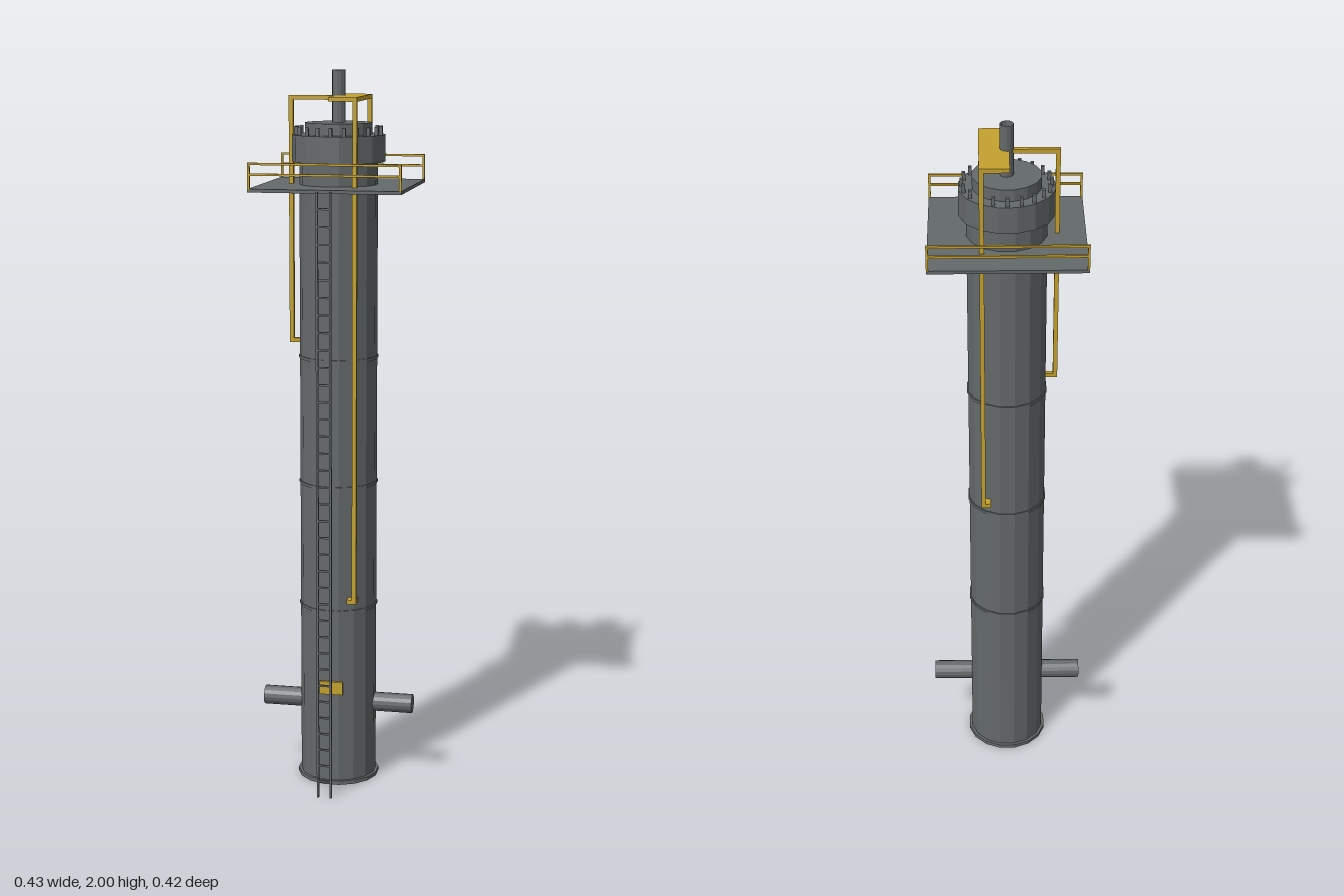
import * as THREE from 'three';

export function createModel() {
  const model = new THREE.Group();
  const steel = new THREE.MeshStandardMaterial({ name: 'grey steel', color: 0x64696a, flatShading: true });
  const yellow = new THREE.MeshStandardMaterial({ name: 'safety yellow', color: 0xc5a22f, flatShading: true });
  const openSteel = steel.clone();
  openSteel.side = THREE.DoubleSide;
  const cz = -0.004; // column axis

  const add = (name, geometry, material, x, y, z, parent = model) => {
    const mesh = new THREE.Mesh(geometry, material);
    mesh.name = name;
    mesh.position.set(x, y, z);
    parent.add(mesh);
    return mesh;
  };
  // Box given by its extents
  const box = (name, material, x0, x1, y0, y1, z0, z1, parent) =>
    add(name, new THREE.BoxGeometry(x1 - x0, y1 - y0, z1 - z0), material,
      (x0 + x1) / 2, (y0 + y1) / 2, (z0 + z1) / 2, parent);
  // Upright 16-sided drum with flat faces to the front and sides
  const drum = (name, r, y0, y1) => {
    const g = new THREE.CylinderGeometry(r, r, y1 - y0, 16).rotateY(Math.PI / 16);
    return add(name, g, steel, 0, (y0 + y1) / 2, cz);
  };
  const group = (name) => {
    const g = new THREE.Group();
    g.name = name;
    model.add(g);
    return g;
  };

  // Column, base ring, weld seams and head
  drum('column', 0.107, 0, 1.77);
  drum('baseRing', 0.115, 0, 0.011);
  for (const y of [0.51, 0.865, 1.22]) drum('seamRing', 0.11, y - 0.004, y + 0.004);
  drum('headFlange', 0.127, 1.755, 1.828);
  drum('headCap', 0.091, 1.82, 1.86);

  // Flange bolts
  const bolts = group('flangeBolts');
  for (let i = 0; i < 20; i++) {
    const a = (i / 20) * Math.PI * 2;
    add('bolt', new THREE.BoxGeometry(0.009, 0.09, 0.009), steel,
      Math.cos(a) * 0.116, 1.805, cz + Math.sin(a) * 0.116, bolts);
  }

  // Open vent pipe on top
  add('ventPipe', new THREE.CylinderGeometry(0.018, 0.018, 0.14, 12, 1, true), openSteel, 0, 1.93, cz);

  // Side nozzles
  for (const s of [-1, 1]) {
    add('nozzle', new THREE.CylinderGeometry(0.027, 0.027, 0.125, 16).rotateZ(Math.PI / 2),
      steel, s * 0.1525, 0.217, cz);
  }

  // Platform with front and back railings
  box('platform', steel, -0.206, 0.206, 1.685, 1.694, -0.21, 0.203);
  for (const z of [-0.207, 0.2]) {
    const rail = group('railing');
    for (const y of [1.732, 1.76])
      box('handrail', yellow, -0.206, 0.206, y - 0.003, y + 0.003, z - 0.003, z + 0.003, rail);
    for (const x of [-0.203, 0.203])
      box('post', yellow, x - 0.003, x + 0.003, 1.69, 1.763, z - 0.003, z + 0.003, rail);
  }

  // Ladder
  const ladder = group('ladder');
  for (const x of [-0.018, 0.018])
    box('ladderRail', steel, x - 0.003, x + 0.003, 0, 1.69, 0.203, 0.21, ladder);
  for (let i = 1; i < 36; i++) {
    const y = i * 0.047;
    box('rung', steel, -0.018, 0.018, y - 0.0025, y + 0.0025, 0.204, 0.209, ladder);
  }

  // Yellow overhead duct and its three downcomers
  const pipes = group('yellowPiping');
  box('overheadPlate', yellow, -0.006, 0.072, 1.92, 1.932, -0.122, 0.117, pipes);
  box('overheadPipe', yellow, -0.137, 0, 1.92, 1.932, cz - 0.0065, cz + 0.0065, pipes);
  box('frontDowncomer', yellow, 0.06, 0.072, 0.54, 1.925, 0.105, 0.117, pipes);
  box('frontInlet', yellow, 0.045, 0.072, 0.54, 0.552, 0.085, 0.117, pipes);
  box('backDowncomer', yellow, 0.06, 0.072, 0.9, 1.925, -0.122, -0.11, pipes);
  box('backInlet', yellow, 0.045, 0.072, 0.9, 0.912, -0.122, -0.085, pipes);
  box('sideDowncomer', yellow, -0.137, -0.125, 1.255, 1.925, cz - 0.0065, cz + 0.0065, pipes);
  box('sideInlet', yellow, -0.137, -0.1, 1.255, 1.267, cz - 0.0065, cz + 0.0065, pipes);

  // Plate on the lower front
  box('frontPlate', yellow, -0.033, 0.033, 0.27, 0.307, 0.102, 0.111);

  return model;
}
